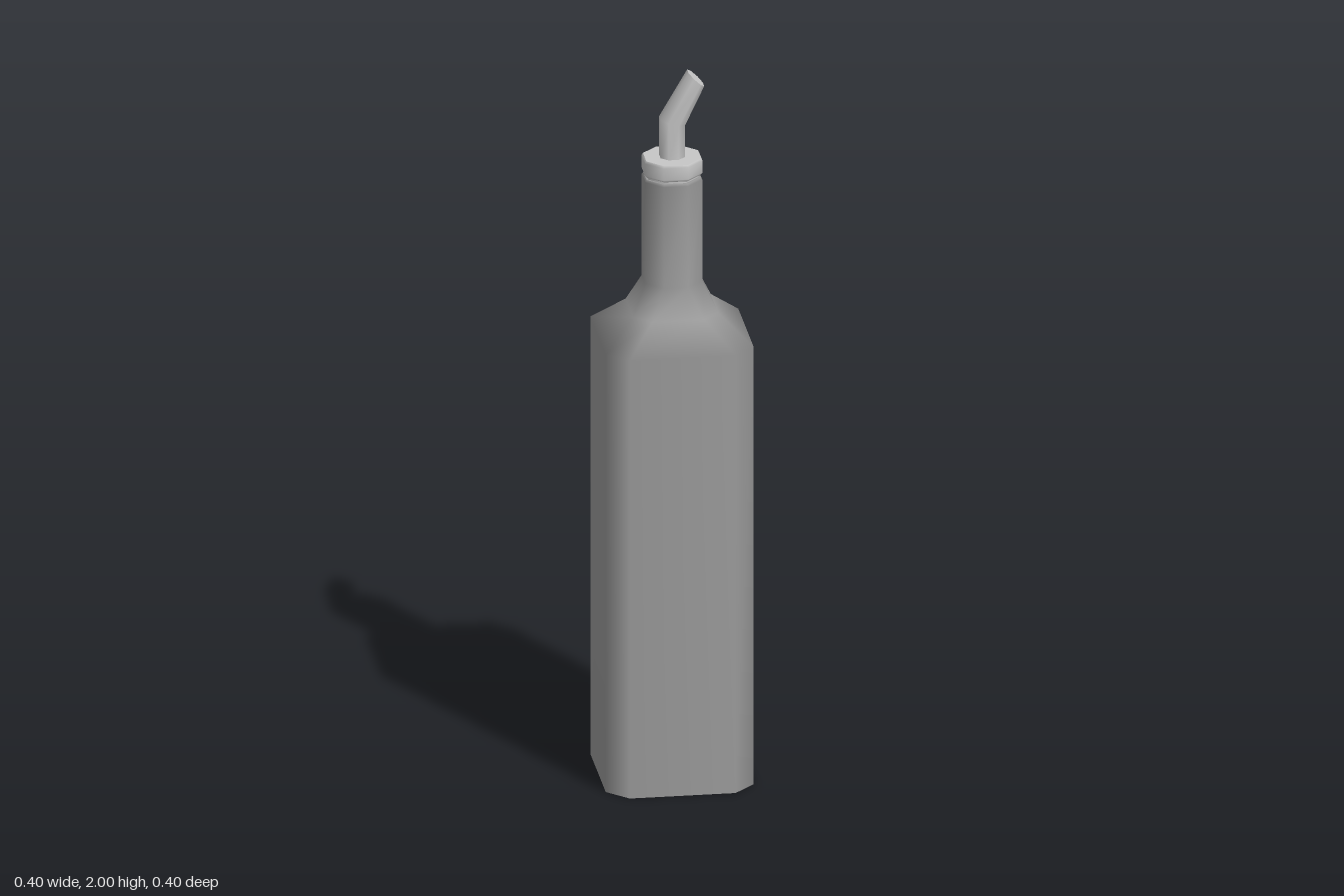
import * as THREE from 'three';

// Chamfered-square ring. tilt slopes the ring in x: [x scale, y per unit x]
function ring({ w, f, y, x = 0, tilt = [1, 0] }) {
  return [[w, -f], [w, f], [f, w], [-f, w], [-w, f], [-w, -f], [-f, -w], [f, -w]]
    .map(([px, pz]) => [x + px * tilt[0], y + px * tilt[1], pz]);
}

// Smooth sides through the rings, with flat caps at both ends
function loft(sections) {
  const rings = sections.map(ring);
  const n = 8;
  const last = rings.length - 1;
  const pos = [...rings, rings[0], rings[last]].flat(2);
  const index = [];
  for (let i = 0; i < last; i++) {
    for (let j = 0; j < n; j++) {
      const a = i * n + j;
      const b = i * n + (j + 1) % n;
      index.push(a, a + n, b, b, a + n, b + n);
    }
  }
  const bottom = (last + 1) * n;
  const top = bottom + n;
  for (let j = 1; j < n - 1; j++) {
    index.push(bottom, bottom + j, bottom + j + 1);
    index.push(top, top + j + 1, top + j);
  }
  const geometry = new THREE.BufferGeometry();
  geometry.setAttribute('position', new THREE.Float32BufferAttribute(pos, 3));
  geometry.setIndex(index);
  geometry.computeVertexNormals();
  return geometry;
}

export function createModel() {
  const group = new THREE.Group();
  group.name = 'pouringBottle';
  const glass = new THREE.MeshStandardMaterial({ name: 'bottleGrey', color: 0x989898 });
  const metal = new THREE.MeshStandardMaterial({ name: 'spoutGrey', color: 0xc6c6c6 });
  const add = (name, material, sections) => {
    const mesh = new THREE.Mesh(loft(sections), material);
    mesh.name = name;
    group.add(mesh);
  };

  // Square body, sloping shoulder and neck
  add('bottle', glass, [
    { w: 0.2, f: 0.143, y: 0 },
    { w: 0.2, f: 0.143, y: 1.255 },
    { w: 0.115, f: 0.07, y: 1.33 },
    { w: 0.077, f: 0.033, y: 1.41 },
    { w: 0.077, f: 0.033, y: 1.7 },
    { w: 0.073, f: 0.031, y: 1.706 },
  ]);

  // Plug seen in the gap under the collar
  add('stopperPlug', metal, [
    { w: 0.068, f: 0.028, y: 1.69 },
    { w: 0.068, f: 0.028, y: 1.72 },
  ]);

  // Collar with small bevels
  add('stopperCollar', metal, [
    { w: 0.073, f: 0.031, y: 1.713 },
    { w: 0.078, f: 0.034, y: 1.72 },
    { w: 0.078, f: 0.034, y: 1.754 },
    { w: 0.074, f: 0.032, y: 1.76 },
  ]);

  // Bent pouring spout, leaning to +x
  add('spout', metal, [
    { w: 0.033, f: 0.014, y: 1.755 },
    { w: 0.033, f: 0.014, y: 1.86, tilt: [1, -0.3] },
    { w: 0.033, f: 0.014, y: 1.98, x: 0.064, tilt: [0.64, -0.6] },
  ]);

  return group;
}
